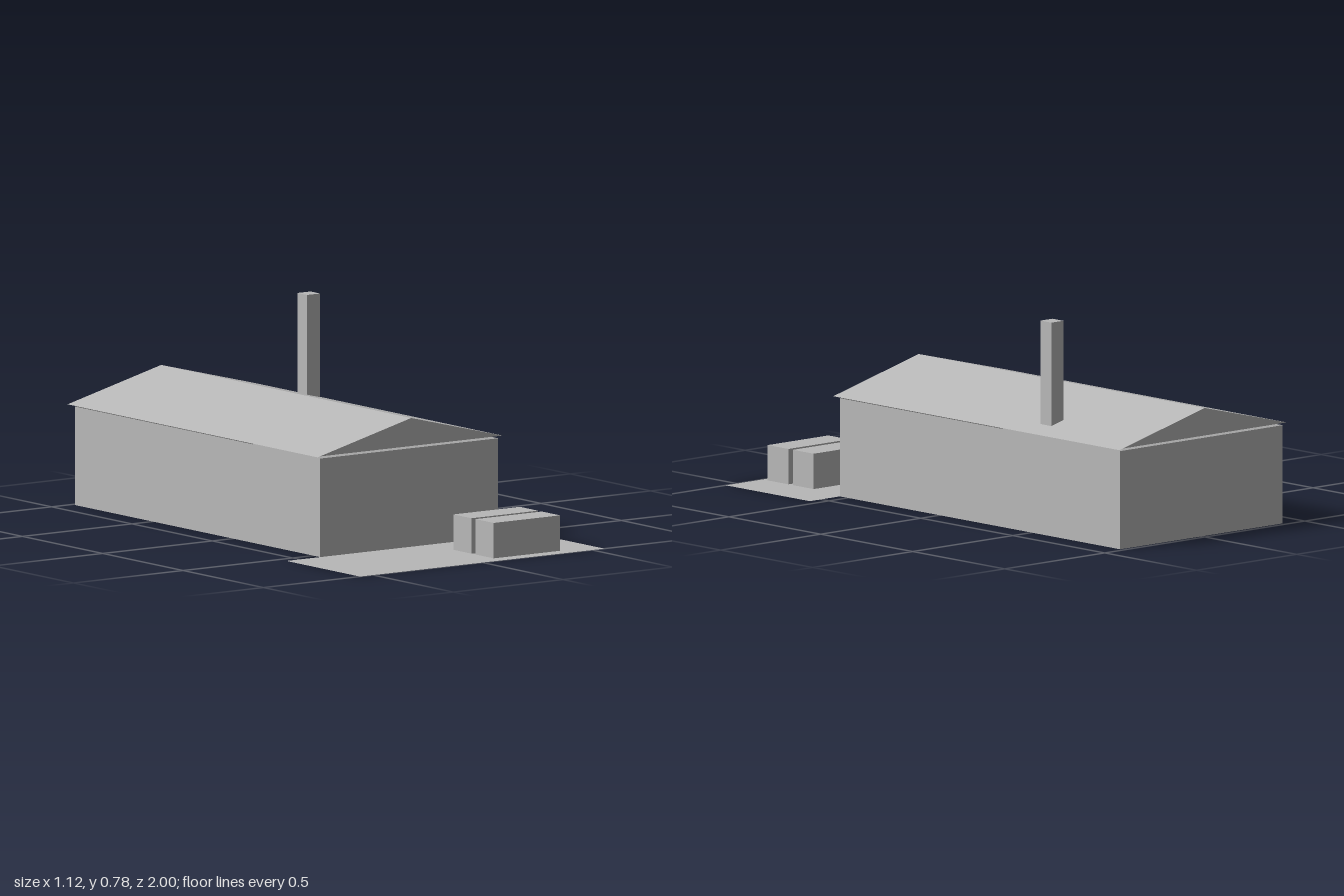
import * as THREE from 'three';

export function createModel() {
  const model = new THREE.Group();
  model.name = 'building';
  const grey = new THREE.MeshStandardMaterial({ color: 0xb8b8b8, side: THREE.DoubleSide });
  grey.name = 'plain grey';

  const add = (name, geometry, x = 0, y = 0, z = 0) => {
    const mesh = new THREE.Mesh(geometry, grey);
    mesh.name = name;
    mesh.position.set(x, y, z);
    model.add(mesh);
    return mesh;
  };
  // Box given by its minimum and maximum corners
  const addBox = (name, [x0, y0, z0], [x1, y1, z1]) =>
    add(name, new THREE.BoxGeometry(x1 - x0, y1 - y0, z1 - z0),
      (x0 + x1) / 2, (y0 + y1) / 2, (z0 + z1) / 2);

  const wall = { x: 0.406, height: 0.367, back: -0.982, front: 0.543 };
  const roof = { x: 0.427, eave: 0.375, ridge: 0.482, back: -1, front: 0.556 };

  // Four thin walls, open above and below
  const wallLength = wall.front - wall.back;
  const wallMiddle = (wall.front + wall.back) / 2;
  for (const side of [-1, 1]) {
    add(side > 0 ? 'leftWall' : 'rightWall', new THREE.PlaneGeometry(wallLength, wall.height),
      side * wall.x, wall.height / 2, wallMiddle).rotation.y = side * Math.PI / 2;
    add(side > 0 ? 'frontWall' : 'backWall', new THREE.PlaneGeometry(2 * wall.x, wall.height),
      0, wall.height / 2, side > 0 ? wall.front : wall.back).rotation.y = side > 0 ? 0 : Math.PI;
  }

  // Two sloping roof sheets meeting at the ridge
  const rise = roof.ridge - roof.eave;
  const roofLength = roof.front - roof.back;
  for (const side of [-1, 1]) {
    const sheet = new THREE.PlaneGeometry(Math.hypot(roof.x, rise), roofLength);
    sheet.rotateX(-Math.PI / 2);
    sheet.rotateZ(-side * Math.atan2(rise, roof.x));
    add(side > 0 ? 'leftRoof' : 'rightRoof', sheet,
      side * roof.x / 2, (roof.eave + roof.ridge) / 2, (roof.front + roof.back) / 2);
  }

  // Gable triangles in the planes of the end walls
  const gable = new THREE.Shape([
    new THREE.Vector2(-roof.x, roof.eave),
    new THREE.Vector2(roof.x, roof.eave),
    new THREE.Vector2(0, roof.ridge),
  ]);
  add('frontGable', new THREE.ShapeGeometry(gable), 0, 0, wall.front);
  add('backGable', new THREE.ShapeGeometry(gable), 0, 0, wall.back).rotation.y = Math.PI;

  // Chimney passing through the roof
  addBox('chimney', [0.284, 0.367, -0.54], [0.344, 0.782, -0.48]);

  // Paved forecourt with two low blocks
  add('forecourt', new THREE.PlaneGeometry(1.116, 0.457).rotateX(-Math.PI / 2), -0.002, 0, 0.7715);
  addBox('rearBlock', [0.08, 0.003, 0.71], [0.383, 0.135, 0.823]);
  addBox('frontBlock', [0.08, 0.003, 0.847], [0.383, 0.135, 0.96]);

  return model;
}
